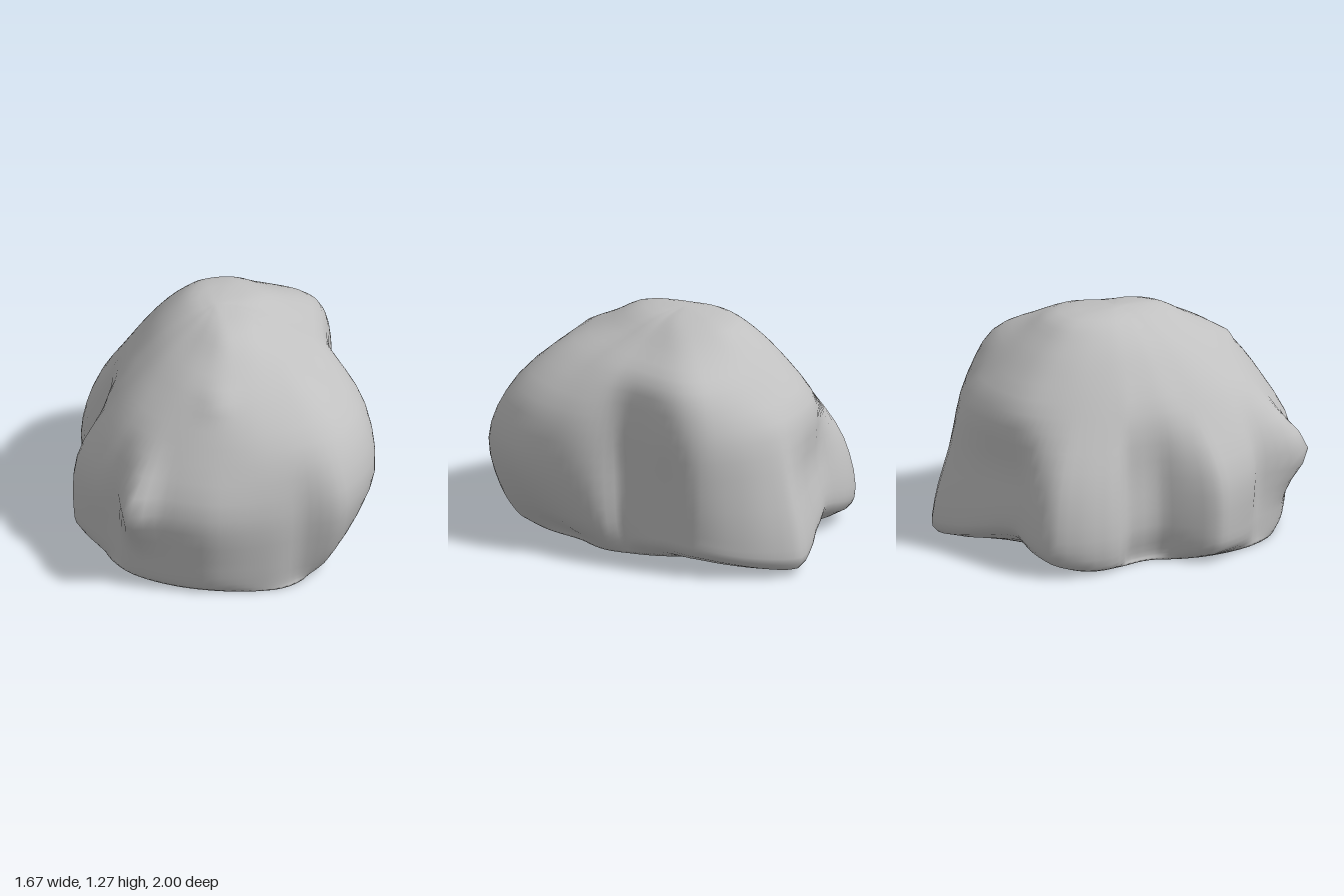
import * as THREE from 'three';

const SEGMENTS = 120;
const RINGS = 27;

// Plan outline at the widest height: angle from the front (towards +x), radius
const outline = [
  [0, 0.99], [14, 0.96], [31, 0.94], [38, 1.0], [42, 1.03], [53, 0.98], [66, 0.91], [78, 0.82],
  [90, 0.73], [97, 0.665], [104, 0.55], [118, 0.58], [133, 0.67], [143, 0.79], [159, 0.88],
  [172, 0.97], [180, 1.03], [187, 0.96], [199, 0.87], [215, 0.83], [226, 0.93], [235, 0.98],
  [246, 0.92], [257, 0.82], [261, 0.71], [272, 0.67], [279, 0.68], [289, 0.81], [295, 0.91],
  [302, 0.91], [319, 0.907], [328, 0.96], [343, 0.98], [353, 0.985],
];

// Upright profiles: angle, foot radius, rim height, share of the outline at the rim and at
// heights 0.2 and 0.5, then plain radii at heights 0.8, 1.03, 1.16 and 1.25
const profiles = [
  [0, 0.90, 0.05, 0.94, 0.97, 1, 0.83, 0.65, 0.44, 0.28],
  [28, 0.93, 0.04, 0.98, 0.99, 1, 0.87, 0.64, 0.41, 0.21],
  [45, 0.76, 0.05, 0.80, 0.92, 1, 0.92, 0.66, 0.37, 0.17],
  [66, 0.55, 0.05, 0.63, 0.84, 1, 0.83, 0.55, 0.30, 0.12],
  [90, 0.52, 0.06, 0.76, 0.90, 1, 0.70, 0.53, 0.30, 0.11],
  [104, 0.47, 0.08, 0.93, 0.98, 1, 0.56, 0.51, 0.31, 0.11],
  [120, 0.45, 0.12, 0.97, 0.99, 1, 0.59, 0.55, 0.35, 0.14],
  [143, 0.44, 0.15, 0.96, 0.98, 1, 0.78, 0.69, 0.45, 0.22],
  [180, 0.66, 0.05, 0.97, 0.97, 0.88, 0.81, 0.62, 0.47, 0.33],
  [213, 0.52, 0.18, 0.97, 0.99, 0.94, 0.78, 0.60, 0.46, 0.33],
  [246, 0.80, 0.04, 0.96, 1, 0.92, 0.67, 0.50, 0.38, 0.25],
  [272, 0.62, 0.04, 0.94, 1, 0.98, 0.61, 0.46, 0.34, 0.20],
  [295, 0.74, 0.08, 0.96, 0.99, 0.96, 0.67, 0.47, 0.33, 0.18],
  [325, 0.89, 0.05, 0.94, 0.96, 1, 0.79, 0.54, 0.36, 0.20],
];

// Small knobs, lips and one groove: angle, height, angular width, upright width, size
const knobs = [
  [335, 0.5, 5, 0.18, 0.11],
  [322, 0.42, 5, 0.25, -0.05],
  [0, 1.04, 8, 0.04, 0.03],
  [180, 0.81, 10, 0.04, 0.02],
];

// Straight interpolation of one table column around the circle
function around(table, angle, column) {
  const turn = (angle + 360) % 360;
  const i = table.findLastIndex((row) => row[0] <= turn);
  const a = table[i], b = table[(i + 1) % table.length];
  const t = (turn - a[0]) / ((b[0] - a[0] + 360) % 360);
  return THREE.MathUtils.lerp(a[column], b[column], t);
}

// The same, averaged over a window of angles to soften the corners
function soft(table, angle, column, width) {
  let sum = 0;
  for (let k = -4; k <= 4; k++) sum += around(table, angle + (k * width) / 4, column);
  return sum / 9;
}

function knobOffset(angle, y) {
  let sum = 0;
  for (const [a, h, wa, wy, size] of knobs) {
    const d = ((angle - a + 540) % 360) - 180;
    sum += size * Math.exp(-((d / wa) ** 2) - ((y - h) / wy) ** 2);
  }
  return sum;
}

// One upright line of points from the foot to just below the summit
function meridian(angle, summit) {
  const rad = THREE.MathUtils.degToRad(angle);
  const radius = soft(outline, angle, 1, 2);
  const value = (column) => soft(profiles, angle, column, 7);
  const rim = value(2);
  const levels = [
    [value(1), 0.01],
    [radius * value(3), rim],
    [radius * value(4), Math.max(0.2, rim + 0.1)],
    [radius * value(5), 0.5],
    [value(6), 0.8], [value(7), 1.03], [value(8), 1.16], [value(9), 1.25],
  ];
  const points = levels.map(([r, y]) => new THREE.Vector3(r * Math.sin(rad), y, r * Math.cos(rad)));
  const curve = new THREE.CatmullRomCurve3([...points, summit], false, 'centripetal');
  return Array.from({ length: RINGS }, (_, k) => {
    const p = curve.getPoint(k / RINGS);
    const push = knobOffset(angle, p.y);
    p.x += push * Math.sin(rad);
    p.z += push * Math.cos(rad);
    p.y = THREE.MathUtils.clamp(p.y, 0, 1.28);
    return p;
  });
}

export function createModel() {
  const stone = new THREE.MeshStandardMaterial({ color: 0xc0c0c0 });
  stone.name = 'stone grey';

  const top = new THREE.Vector3(-0.07, 1.28, 0);
  const points = [];
  for (let i = 0; i < SEGMENTS; i++) points.push(...meridian((i * 360) / SEGMENTS, top));
  const summit = points.push(top) - 1;
  const centre = points.push(new THREE.Vector3(0, 0.01, 0)) - 1;

  // Sides, crown and flat underside as one smooth skin
  const index = [];
  for (let i = 0; i < SEGMENTS; i++) {
    const a = i * RINGS, b = ((i + 1) % SEGMENTS) * RINGS;
    for (let k = 0; k < RINGS - 1; k++) {
      index.push(a + k, b + k, b + k + 1, a + k, b + k + 1, a + k + 1);
    }
    index.push(a + RINGS - 1, b + RINGS - 1, summit, centre, b, a);
  }
  const geometry = new THREE.BufferGeometry().setFromPoints(points);
  geometry.setIndex(index);
  geometry.computeVertexNormals();

  const boulder = new THREE.Mesh(geometry, stone);
  boulder.name = 'boulder';

  const model = new THREE.Group();
  model.name = 'rock';
  model.add(boulder);
  return model;
}
